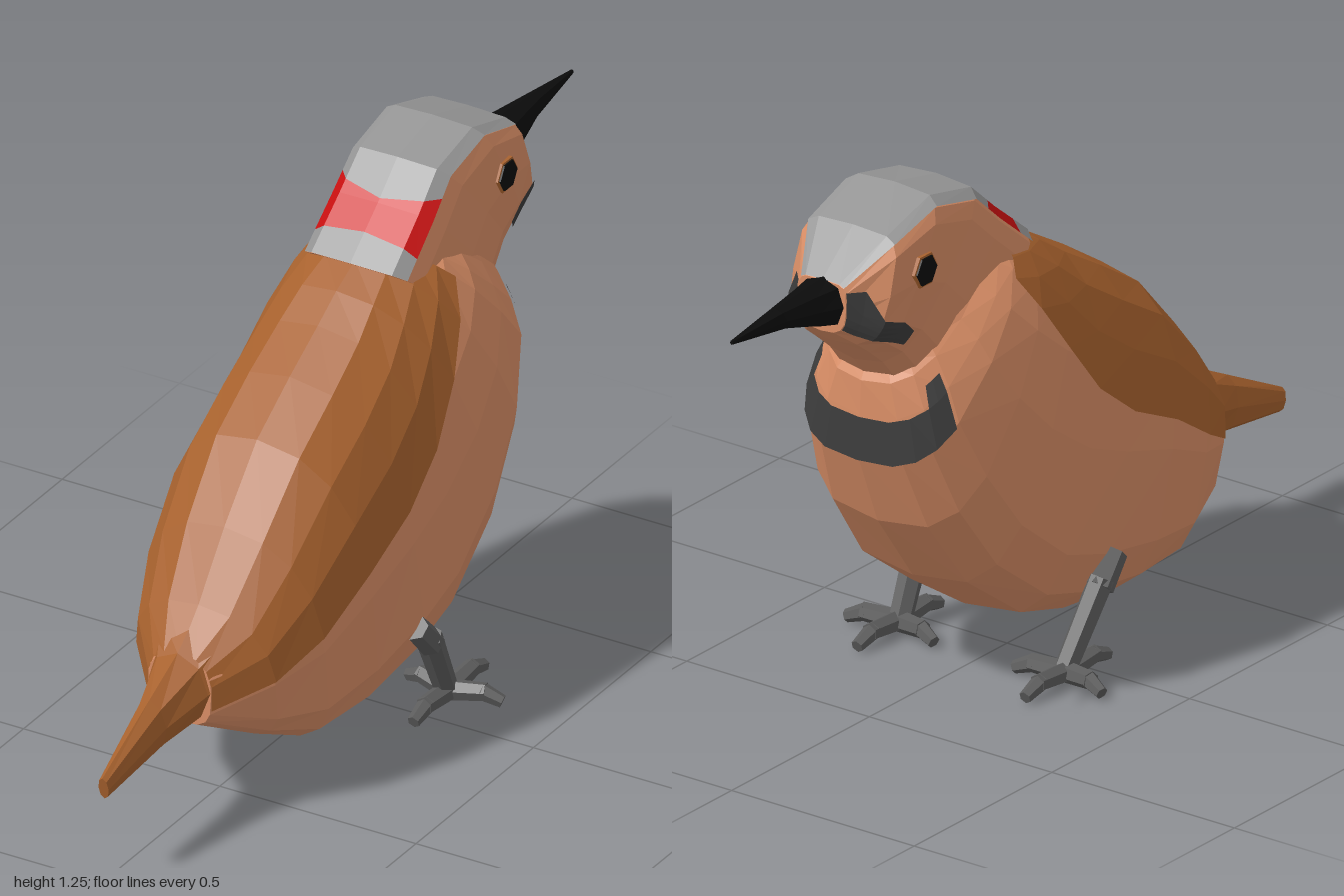
import * as THREE from 'three';

const COLORS = {
  salmon: 0xd98e66, brown: 0xa8622e, grey: 0x959595, red: 0xc81010,
  dark: 0x3c3c3c, black: 0x0c0c0c, leg: 0x5c5c5c,
};
const mats = {};
for (const k in COLORS) {
  mats[k] = new THREE.MeshStandardMaterial({ color: COLORS[k], flatShading: true });
}
const rad = THREE.MathUtils.degToRad;
const lerp = THREE.MathUtils.lerp;

// Cross-sections: [topZ, topY, bottomZ, bottomY, halfWidth, roundness below]; eu = roundness above
const BODY = { eu: 0.85, rows: [
  [0.67, 0.42, 0.67, 0.25, 0.08, 0.6],
  [0.59, 0.50, 0.52, 0.17, 0.175, 0.55],
  [0.48, 0.64, 0.375, 0.10, 0.225, 0.55],
  [0.34, 0.79, 0.2, 0.092, 0.252, 0.55],
  [0.2, 0.88, 0, 0.112, 0.257, 0.55],
  [0.08, 0.95, -0.155, 0.155, 0.257, 0.55],
  [0, 1.0, -0.343, 0.29, 0.255, 0.6],
  [-0.08, 1.04, -0.47, 0.464, 0.243, 0.65],
  [-0.14, 1.065, -0.54, 0.64, 0.215, 0.68],
  [-0.17, 1.07, -0.535, 0.74, 0.187, 0.7],
  [-0.2, 1.075, -0.53, 0.82, 0.15, 0.75],
  [-0.25, 1.1, -0.515, 0.85, 0.125, 0.8],
] };
const HEAD = { eu: 0.4, rows: [
  [-0.06, 1.045, -0.45, 0.75, 0.147, 0.68],
  [-0.177, 1.14, -0.505, 0.82, 0.144, 0.68],
  [-0.26, 1.215, -0.555, 0.88, 0.14, 0.68],
  [-0.41, 1.248, -0.6, 0.92, 0.14, 0.68],
  [-0.56, 1.2, -0.64, 0.955, 0.133, 0.68],
  [-0.67, 1.11, -0.675, 0.99, 0.066, 0.7],
] };
const TAIL = { eu: 1, rows: [
  [1, 0.265, 0.99, 0.21, 0.013, 1],
  [0.8, 0.365, 0.78, 0.235, 0.038, 1],
  [0.68, 0.425, 0.67, 0.25, 0.075, 1],
  [0.6, 0.485, 0.6, 0.3, 0.125, 1],
] };
const BEAK = { eu: 0.9, rows: [
  [-0.64, 1.118, -0.66, 0.995, 0.066, 0.9],
  [-0.73, 1.11, -0.73, 1.018, 0.044, 0.9],
  [-0.84, 1.1, -0.82, 1.045, 0.024, 0.9],
  [-1, 1.08, -1, 1.07, 0.004, 0.9],
] };

// Point on a form at row position u and angle a (0 = top, 90 = +x, 180 = bottom)
function surfacePoint(form, u, a, scale) {
  const i = Math.min(Math.floor(u), form.rows.length - 2);
  const [tz, ty, bz, by, w, el] = form.rows[i].map((v, k) => lerp(v, form.rows[i + 1][k], u - i));
  const c = Math.cos(rad(a)), s = Math.sin(rad(a));
  const e = c >= 0 ? form.eu : el;
  const pow = (v) => Math.sign(v) * Math.abs(v) ** e * scale;
  return [w * pow(s), (ty + by) / 2 + (ty - by) / 2 * pow(c), (tz + bz) / 2 + (tz - bz) / 2 * pow(c)];
}

// Skin over spans [u, startAngle, endAngle, slant of u at the edges]; closed forms get end caps
function skin(name, mat, form, spans, segs, scale = 1, capped = false) {
  const pos = [], idx = [], n = segs + 1;
  for (const [u, a0, a1, slant = 0] of spans) {
    for (let j = 0; j <= segs; j++) {
      const t = j / segs;
      pos.push(...surfacePoint(form, u + slant * Math.abs(2 * t - 1), lerp(a0, a1, t), scale));
    }
  }
  for (let i = 0; i < spans.length - 1; i++) {
    for (let j = 0; j < segs; j++) {
      const p = i * n + j;
      idx.push(p, p + 1, p + n, p + 1, p + n + 1, p + n);
    }
  }
  if (capped) {
    const last = (spans.length - 1) * n;
    for (let j = 1; j < segs - 1; j++) idx.push(0, j + 1, j, last, last + j, last + j + 1);
  }
  const g = new THREE.BufferGeometry();
  g.setAttribute('position', new THREE.Float32BufferAttribute(pos, 3));
  g.setIndex(idx);
  g.computeVertexNormals();
  const mesh = new THREE.Mesh(g, mats[mat]);
  mesh.name = name;
  return mesh;
}
const solid = (name, mat, form, segs) =>
  skin(name, mat, form, form.rows.map((_, i) => [i, 0, 360]), segs, 1, true);

// Tapered bar between two points
function bar(name, p, q, r0, r1) {
  const a = new THREE.Vector3(...p), d = new THREE.Vector3(...q).sub(a);
  const mesh = new THREE.Mesh(new THREE.CylinderGeometry(r1, r0, d.length(), 6), mats.leg);
  mesh.position.copy(a).addScaledVector(d, 0.5);
  mesh.quaternion.setFromUnitVectors(new THREE.Vector3(0, 1, 0), d.normalize());
  mesh.name = name;
  return mesh;
}

function makeLeg(s) {
  const leg = new THREE.Group();
  leg.name = s > 0 ? 'leftLeg' : 'rightLeg';
  leg.add(
    bar('thigh', [s * 0.242, 0.265, 0.07], [s * 0.245, 0.2, 0.01], 0.03, 0.033),
    bar('shank', [s * 0.245, 0.22, 0.02], [s * 0.225, 0.03, -0.09], 0.031, 0.027),
  );
  // Four spread toes, each with a drooping tip
  for (const [dx, dz] of [[0.12, -0.03], [-0.12, -0.03], [0, -0.15], [0, 0.15]]) {
    const at = (t, y) => [s * (0.23 + dx * t), y, -0.09 + dz * t];
    leg.add(bar('toe', at(0, 0.03), at(0.7, 0.038), 0.025, 0.021));
    leg.add(bar('claw', at(0.6, 0.039), at(1, 0.02), 0.021, 0.015));
  }
  return leg;
}

export function createModel() {
  const bird = new THREE.Group();
  bird.name = 'bird';
  bird.add(
    solid('body', 'salmon', BODY, 16),
    solid('head', 'salmon', HEAD, 16),
    solid('tail', 'brown', TAIL, 8),
    solid('beak', 'black', BEAK, 8),
  );

  // Folded wings and back
  const reach = [[0, 105], [1, 88], [2, 84], [3, 82], [4, 80], [5, 75], [6, 67], [7, 59], [8, 52]];
  bird.add(skin('wingsAndBack', 'brown', BODY, reach.map(([u, a]) => [u, -a, a]), 8, 1.022));

  // Crown and nape stripes, with edges that slant at the sides
  const stripe = (name, mat, us) =>
    bird.add(skin(name, mat, HEAD, us.map(([u, slant]) => [u, -45, 45, slant]), 4, 1.025));
  stripe('crown', 'grey', [[1.1, 0.4], [2], [3], [4], [5]]);
  stripe('redNape', 'red', [[0.52, -0.15], [1], [1.1, 0.4]]);
  stripe('lowerNape', 'grey', [[0], [0.52, -0.15]]);

  // Breast band with upturned ends
  bird.add(skin('breastBand', 'dark', BODY, [[8, 115, 245], [9, 115, 245]], 8, 1.025));
  for (const s of [1, -1]) {
    const span = (u, a, b) => (s > 0 ? [u, a, b] : [u, 360 - b, 360 - a]);
    bird.add(skin('breastBandEnd', 'dark', BODY, [span(9, 115, 131), span(9.6, 115, 128)], 2, 1.025));
    // Cheek stripe running back from the beak
    bird.add(skin('cheekStripe', 'dark', HEAD,
      [span(2.4, 114, 127), span(3, 110, 130), span(4, 106, 135), span(4.6, 85, 135), span(5, 65, 130)], 4, 1.03));
    // Eye
    const eye = new THREE.Group();
    eye.name = s > 0 ? 'leftEye' : 'rightEye';
    for (const [name, mat, r, h] of [['eyeRim', 'brown', 0.042, 0.02], ['pupil', 'black', 0.036, 0.028]]) {
      const disc = new THREE.Mesh(new THREE.CylinderGeometry(r, r, h, 6), mats[mat]);
      disc.rotation.z = Math.PI / 2;
      disc.name = name;
      eye.add(disc);
    }
    eye.position.set(s * 0.134, 1.105, -0.485);
    bird.add(eye, makeLeg(s));
  }
  return bird;
}
